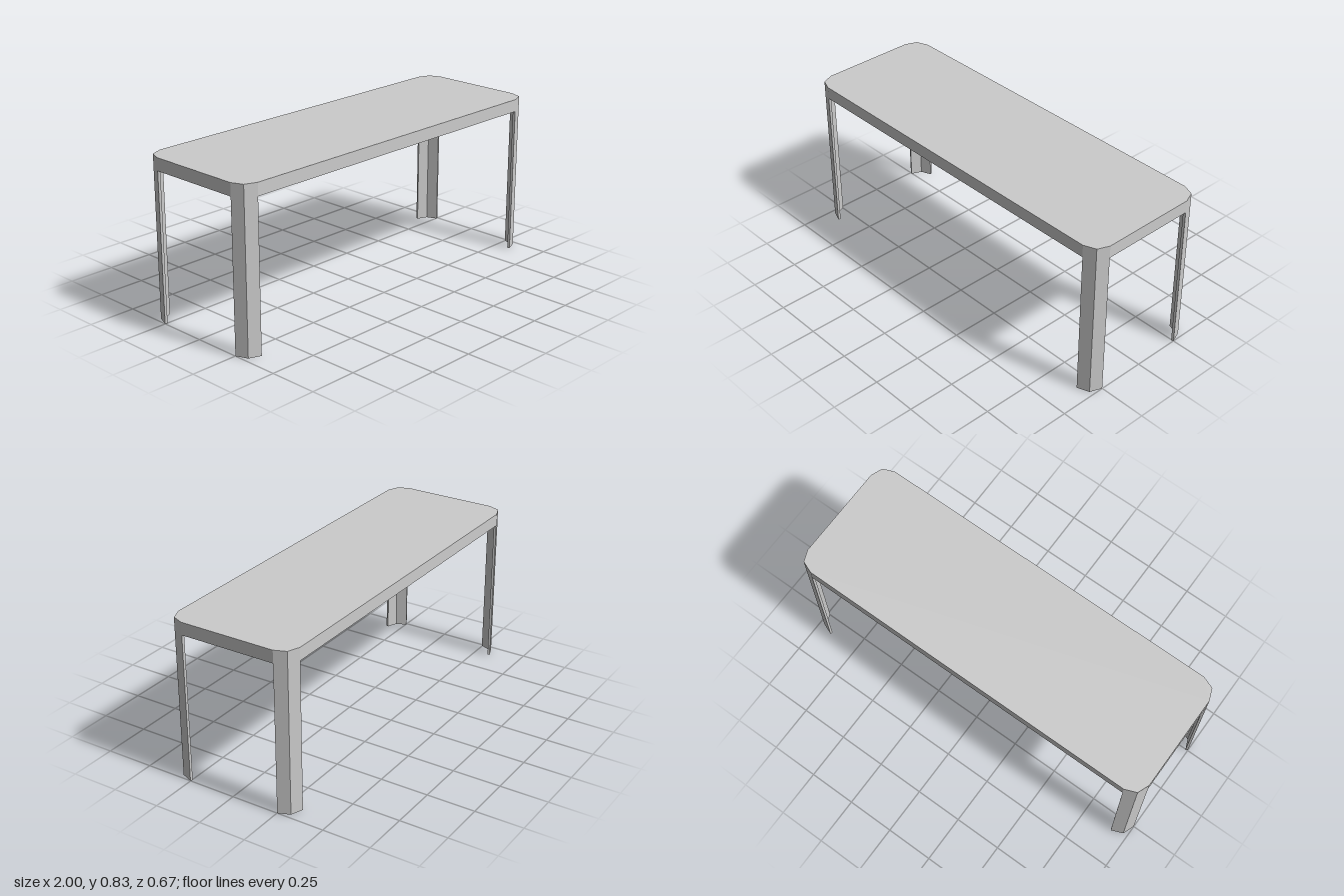
import * as THREE from 'three';

const HEIGHT = 0.835, UNDERSIDE = 0.77;
// Chamfered corner outline and its inner offset, as [x, z] in the +x +z quadrant
const OUTER = [[1, 0.251], [0.976, 0.311], [0.915, 0.335]];
const INNER = [[0.911, 0.323], [0.966, 0.301], [0.988, 0.247]];

// Extrude a plan outline upwards from y0 to y1
function prism(name, points, y0, y1, material) {
  const shape = new THREE.Shape(points.map(([x, z]) => new THREE.Vector2(x, -z)));
  const geometry = new THREE.ExtrudeGeometry(shape, { depth: y1 - y0, bevelEnabled: false });
  geometry.rotateX(-Math.PI / 2).translate(0, y0, 0);
  const mesh = new THREE.Mesh(geometry, material);
  mesh.name = name;
  return mesh;
}

export function createModel() {
  const table = new THREE.Group();
  table.name = 'table';
  const material = new THREE.MeshStandardMaterial({ color: 0xcccccc, flatShading: true });
  const place = (points, sx, sz) => points.map(([x, z]) => [x * sx, z * sz]);
  const reversed = [...OUTER].reverse();

  // Tabletop: solid slab with two-facet corners
  const outline = [
    ...place(OUTER, 1, 1), ...place(reversed, -1, 1),
    ...place(OUTER, -1, -1), ...place(reversed, 1, -1),
  ];
  table.add(prism('tabletop', outline, UNDERSIDE, HEIGHT, material));

  // Legs: thin angled shells flush with each corner
  const corners = { frontLeft: [1, 1], frontRight: [-1, 1], backLeft: [1, -1], backRight: [-1, -1] };
  for (const [corner, [sx, sz]] of Object.entries(corners)) {
    table.add(prism(corner + 'Leg', place([...OUTER, ...INNER], sx, sz), 0, UNDERSIDE, material));
  }
  return table;
}
